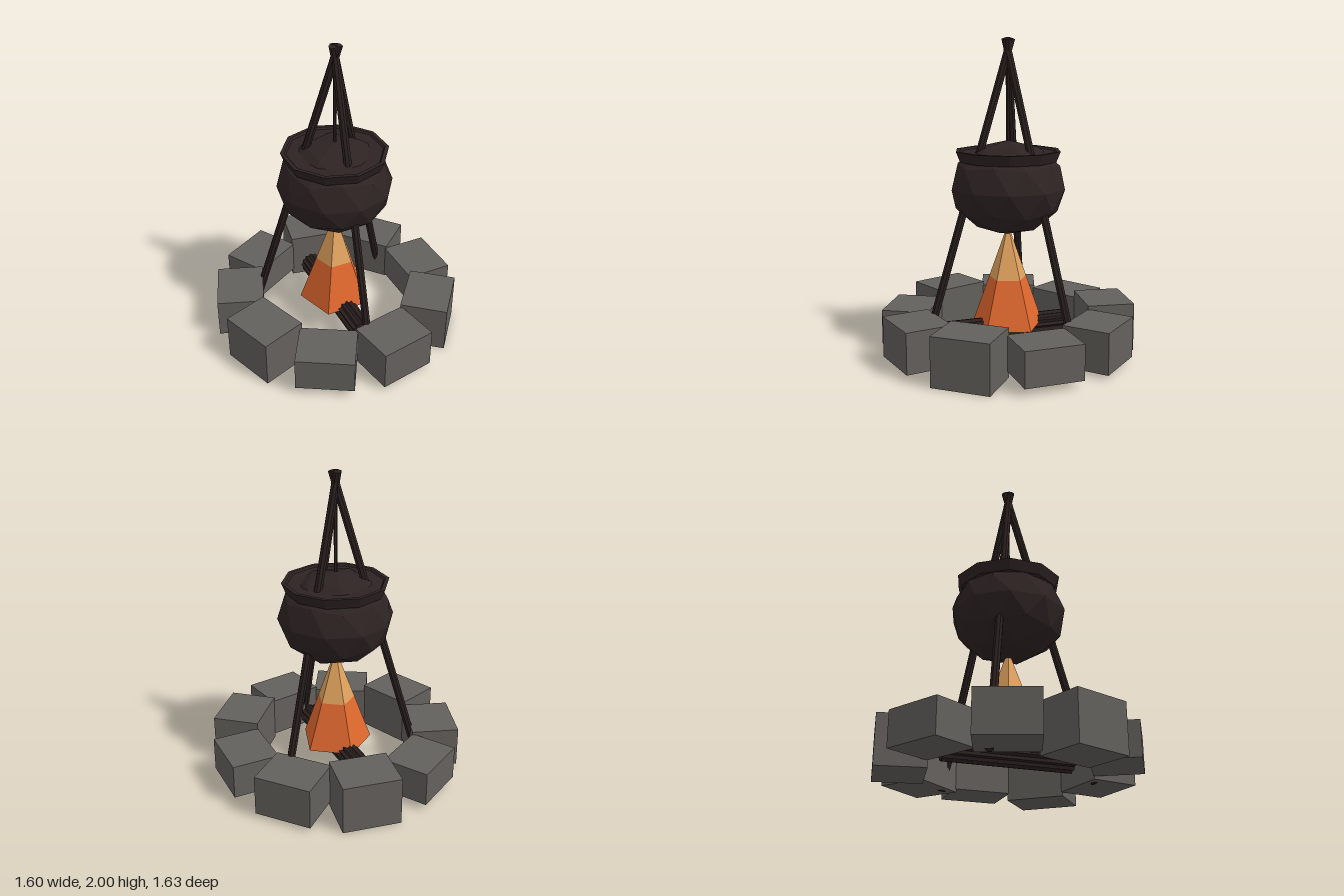
import * as THREE from 'three';

const mat = (name, color) => {
  const m = new THREE.MeshStandardMaterial({ color });
  m.name = name;
  return m;
};

// Facet a geometry so every face is flat
function flat(geo) {
  const g = geo.index ? geo.toNonIndexed() : geo;
  g.computeVertexNormals();
  return g;
}

export function createModel() {
  const stoneGrey = mat('stone grey', 0x63605c);
  const iron = mat('dark iron', 0x2e2323);
  const wood = mat('charred wood', 0x2a201f);
  const orange = mat('flame orange', 0xe0682e);
  const yellow = mat('flame yellow', 0xe0a25e);

  const model = new THREE.Group();
  model.name = 'campfireCauldron';
  const add = (name, geo, material, parent = model) => {
    const mesh = new THREE.Mesh(flat(geo), material);
    mesh.name = name;
    parent.add(mesh);
    return mesh;
  };

  // Ring of nine stones in three repeating heights
  const ring = new THREE.Group();
  ring.name = 'stoneRing';
  model.add(ring);
  const heights = [0.22, 0.31, 0.26];
  for (let i = 0; i < 9; i++) {
    const a = (i * 40 * Math.PI) / 180;
    const stone = add('stone', new THREE.BoxGeometry(0.305, heights[i % 3], 0.37), stoneGrey, ring);
    stone.position.set(Math.cos(a) * 0.64, 0.158, Math.sin(a) * 0.64);
    stone.rotation.y = -a;
  }

  // Fluted log lying front to back
  const bark = new THREE.Shape();
  for (let i = 0; i < 24; i++) {
    const r = i % 2 ? 0.06 : 0.074;
    const a = (i / 24) * Math.PI * 2;
    bark[i ? 'lineTo' : 'moveTo'](Math.cos(a) * r, Math.sin(a) * r);
  }
  const logGeo = new THREE.ExtrudeGeometry(bark, { depth: 0.82, bevelEnabled: false });
  add('log', logGeo, wood).position.set(0.002, 0.15, -0.41);

  // Five-sided flame, orange below and yellow above
  const flame = new THREE.Group();
  flame.name = 'flame';
  flame.rotation.y = Math.PI;
  model.add(flame);
  const [base, split, tip] = [0.17, 0.48, 0.83];
  add('lowerFlame', new THREE.CylinderGeometry(0.125, 0.236, split - base, 5), orange, flame)
    .position.y = (split + base) / 2;
  add('upperFlame', new THREE.ConeGeometry(0.125, tip - split, 5), yellow, flame)
    .position.y = (tip + split) / 2;

  // Squashed faceted pot with a vertex at each pole
  const potGeo = new THREE.IcosahedronGeometry(1, 1);
  potGeo.rotateX(-Math.atan2((1 + Math.sqrt(5)) / 2, 1));
  potGeo.rotateY(Math.PI / 2);
  potGeo.scale(0.37, 0.3, 0.37);
  add('pot', potGeo, iron).position.y = 1.065;

  // Flared rim with a shallow recessed top
  const rimProfile = [[0.27, 1.235], [0.313, 1.235], [0.34, 1.302], [0.315, 1.302], [0.305, 1.29], [0, 1.29]]
    .map(([r, y]) => new THREE.Vector2(r, y));
  add('potRim', new THREE.LatheGeometry(rimProfile, 10), iron);

  // Rod between the pot and the top of the tripod
  add('hangingRod', new THREE.CylinderGeometry(0.011, 0.011, 0.6, 6), iron).position.y = 1.64;

  // Three poles crossing just below their tops
  const tripod = new THREE.Group();
  tripod.name = 'tripod';
  model.add(tripod);
  const up = new THREE.Vector3(0, 1, 0);
  for (const deg of [91, 210, 331]) {
    const a = (deg * Math.PI) / 180;
    const at = (y) => {
      const r = (1.92 - y) * 0.295;
      return new THREE.Vector3(Math.cos(a) * r, y, Math.sin(a) * r);
    };
    const low = at(0.025);
    const high = at(1.993);
    const dir = high.clone().sub(low);
    const leg = add('tripodLeg', new THREE.CylinderGeometry(0.026, 0.026, dir.length(), 8), wood, tripod);
    leg.position.copy(low).add(high).multiplyScalar(0.5);
    leg.quaternion.setFromUnitVectors(up, dir.normalize());
  }

  return model;
}
